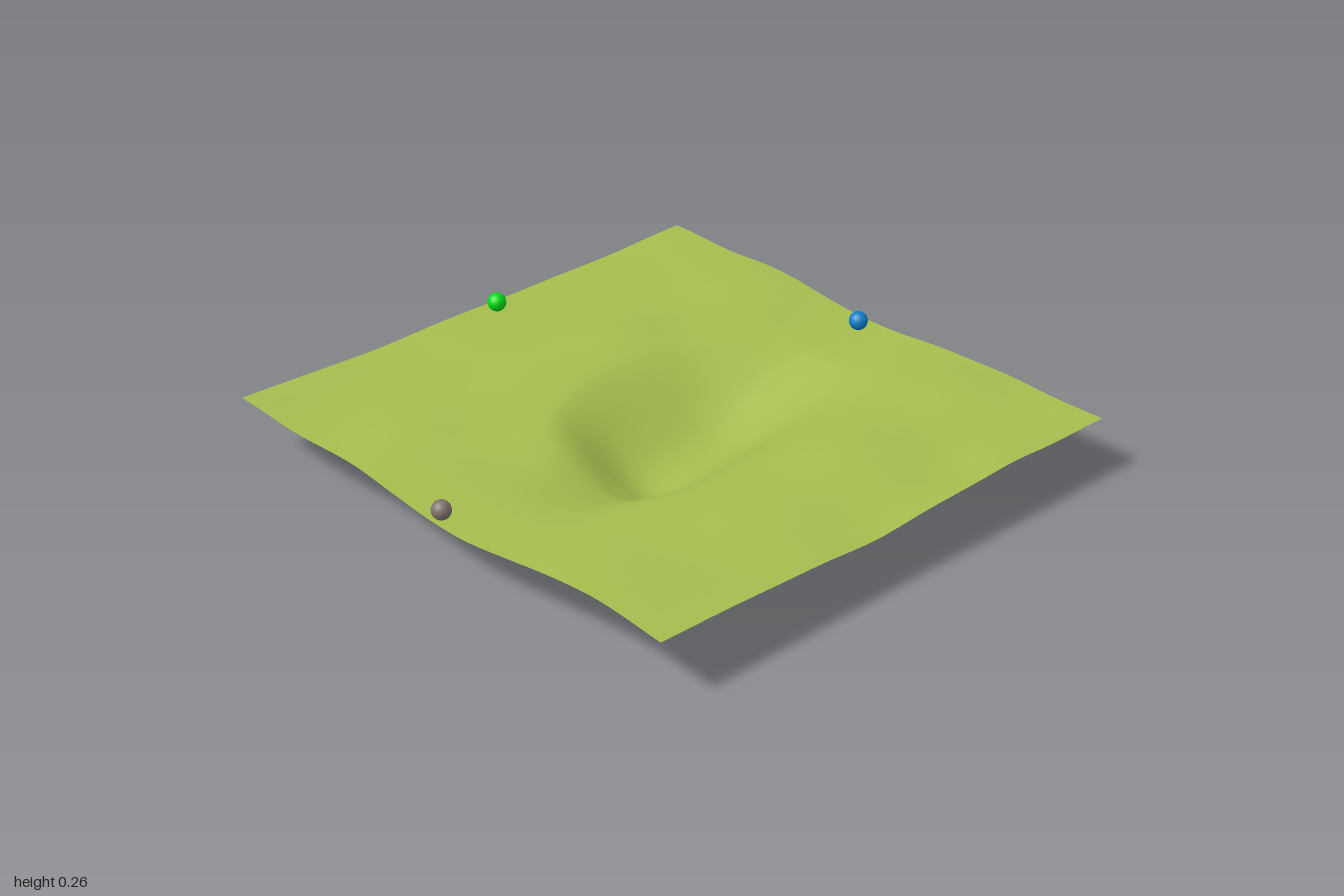
import * as THREE from 'three';

// Smooth curve through [x, value] pairs
function profile(points) {
  return (x) => {
    const last = points.length - 1;
    if (x <= points[0][0]) return points[0][1];
    if (x >= points[last][0]) return points[last][1];
    const i = points.findIndex((p) => p[0] > x) - 1;
    const slope = (k) => {
      const a = points[Math.max(k - 1, 0)], b = points[Math.min(k + 1, last)];
      return (b[1] - a[1]) / (b[0] - a[0]);
    };
    const [x0, y0] = points[i], [x1, y1] = points[i + 1];
    const h = x1 - x0, t = (x - x0) / h, t2 = t * t, t3 = t2 * t;
    return (2 * t3 - 3 * t2 + 1) * y0 + (t3 - 2 * t2 + t) * h * slope(i)
      + (3 * t2 - 2 * t3) * y1 + (t3 - t2) * h * slope(i + 1);
  };
}

// Basin: floor height, and the rims and floor line that bend along x
const floorY = profile([[-1, 0.17], [-0.75, 0.166], [-0.57, 0.142], [-0.4, 0.098], [-0.3, 0.05],
  [-0.22, 0.013], [-0.16, 0.001], [0, 0.012], [0.2, 0.026], [0.3, 0.05], [0.45, 0.1], [0.6, 0.148], [0.7, 0.17], [1, 0.18]]);
const backRim = profile([[-1, -0.42], [-0.7, -0.36], [-0.4, -0.22], [-0.22, -0.3], [0, -0.36], [0.3, -0.35], [0.6, -0.32], [1, -0.42]]);
const floorZ = profile([[-1, 0.06], [-0.6, 0.1], [-0.35, 0.13], [-0.15, 0.09], [0.1, 0.06], [0.5, 0.04], [1, 0]]);
const frontRim = profile([[-1, 0.55], [-0.4, 0.5], [0, 0.53], [0.4, 0.51], [1, 0.47]]);

// Gentle swells: x, z, width x, width z, height
const swells = [
  [-0.2, -0.48, 0.28, 0.16, 0.026], [0.22, -0.48, 0.22, 0.16, 0.031], [0.8, -0.52, 0.22, 0.16, 0.024],
  [-0.72, -0.46, 0.22, 0.15, 0.024], [-0.98, 0.74, 0.32, 0.3, 0.034], [-0.35, 0.68, 0.28, 0.16, 0.018],
  [0.2, 0.62, 0.25, 0.14, 0.02], [0.75, 0.56, 0.2, 0.14, 0.02], [-0.1, 0.98, 0.18, 0.14, -0.018],
  [0.38, 0.86, 0.15, 0.1, -0.016], [0.55, 1, 0.14, 0.12, 0.008], [0.82, 0.82, 0.18, 0.12, -0.01],
  [-0.5, -0.82, 0.3, 0.12, -0.008], [0.5, -0.78, 0.3, 0.1, -0.006], [0.95, -0.98, 0.3, 0.2, 0.008],
  [-0.98, -0.98, 0.3, 0.2, 0.015], [-0.55, -0.15, 0.16, 0.14, -0.01],
];

function height(x, z) {
  let y = 0.204 + 0.003 * Math.sin(9 * x + 4 * z) * Math.cos(7 * z - 3 * x);
  for (const [cx, cz, wx, wz, h] of swells) {
    y += h * Math.exp(-(((x - cx) / wx) ** 2) - ((z - cz) / wz) ** 2);
  }
  const mid = floorZ(x);
  const dip = z < mid
    ? THREE.MathUtils.smoothstep(z, backRim(x), mid - 0.01)
    : (1 - THREE.MathUtils.smoothstep(z, mid + 0.02, frontRim(x))) ** 1.5;
  return THREE.MathUtils.lerp(y, floorY(x), dip);
}

function createTerrain() {
  const geometry = new THREE.PlaneGeometry(1.96, 2, 80, 80).rotateX(-Math.PI / 2);
  const p = geometry.attributes.position;
  for (let i = 0; i < p.count; i++) p.setY(i, height(p.getX(i), p.getZ(i)));
  geometry.computeVertexNormals();
  const material = new THREE.MeshStandardMaterial({ color: 0xa6be4e, side: THREE.DoubleSide });
  const mesh = new THREE.Mesh(geometry, material);
  mesh.name = 'terrain';
  return mesh;
}

export function createModel() {
  const model = new THREE.Group();
  model.name = 'terrainWithMarkers';
  model.add(createTerrain());

  // Marker balls near three edges
  const ball = new THREE.SphereGeometry(0.033, 16, 12);
  const markers = [
    ['greyMarker', 0x80746e, -0.943, 0.2, -0.022],
    ['blueMarker', 0x0f7fc8, 0.914, 0.205, -0.022],
    ['greenMarker', 0x00dc10, 0.066, 0.232, -0.945],
  ];
  for (const [name, color, x, y, z] of markers) {
    const mesh = new THREE.Mesh(ball, new THREE.MeshStandardMaterial({ color }));
    mesh.name = name;
    mesh.position.set(x, y, z);
    model.add(mesh);
  }
  return model;
}
